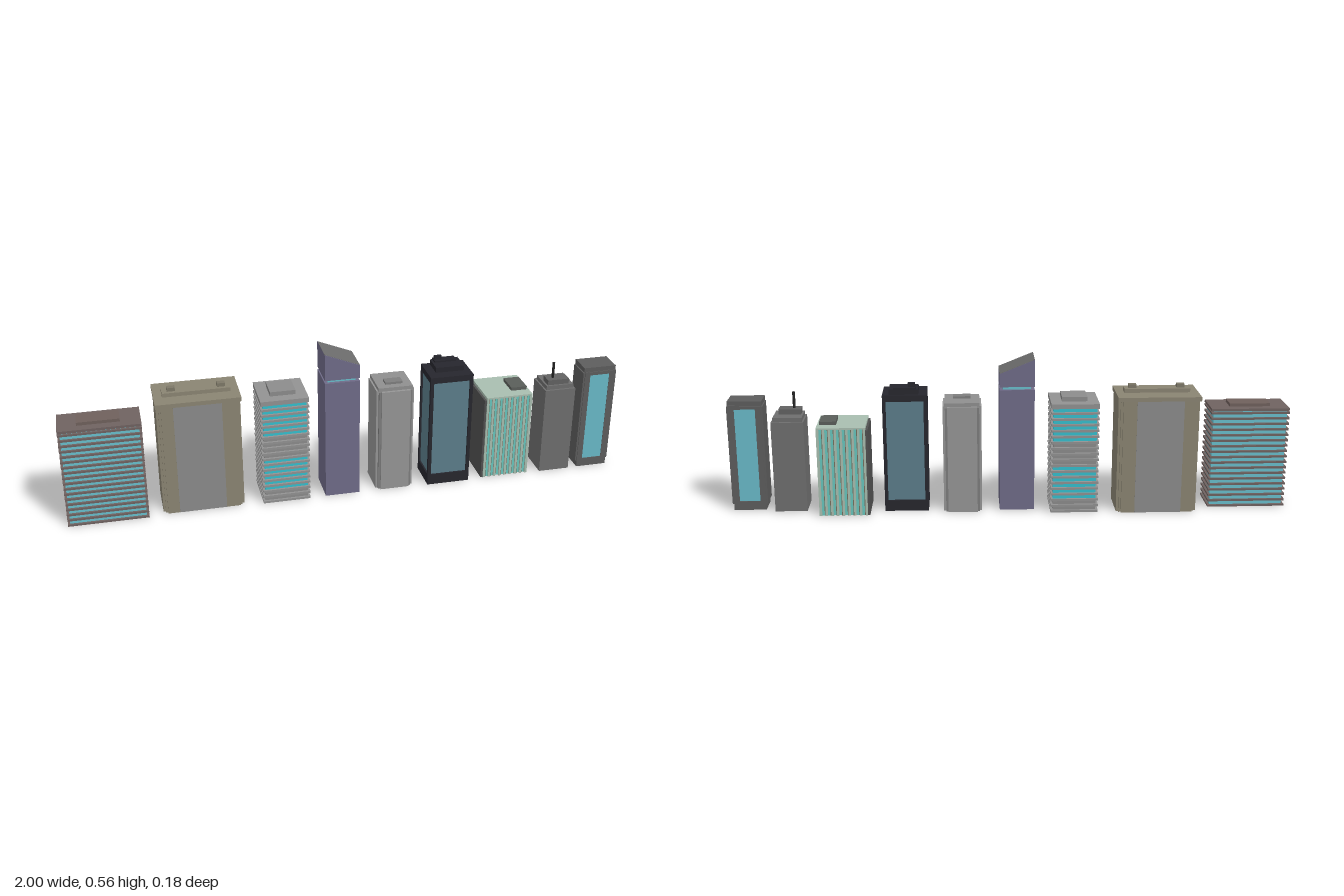
import * as THREE from 'three';

const materials = {};
const mat = (color) => (materials[color] ??= new THREE.MeshStandardMaterial({ color, flatShading: true }));

function add(group, name, geometry, color) {
  const mesh = new THREE.Mesh(geometry, mat(color));
  mesh.name = name;
  group.add(mesh);
  return mesh;
}

// Box given by its limits on each axis
function box(group, name, color, [x0, x1], [y0, y1], [z0, z1]) {
  const mesh = add(group, name, new THREE.BoxGeometry(x1 - x0, y1 - y0, z1 - z0), color);
  mesh.position.set((x0 + x1) / 2, (y0 + y1) / 2, (z0 + z1) / 2);
  return mesh;
}

const inset = ([a, b], d) => [a + d, b - d];

// Upright prism whose four corners are cut back in a number of square steps
function steppedTower(group, name, color, [x0, x1], [y0, y1], [z0, z1], step, count) {
  const w = (x1 - x0) / 2, d = (z1 - z0) / 2;
  const corner = [];
  for (let i = 0; i <= count; i++) {
    corner.push([w - i * step, d - (count - i) * step]);
    if (i < count) corner.push([w - (i + 1) * step, d - (count - i) * step]);
  }
  const back = [...corner].reverse();
  const pts = [
    ...corner,
    ...back.map(([x, z]) => [-x, z]),
    ...corner.map(([x, z]) => [-x, -z]),
    ...back.map(([x, z]) => [x, -z]),
  ].map(([x, z]) => new THREE.Vector2(x, z));
  const geometry = new THREE.ExtrudeGeometry(new THREE.Shape(pts), { depth: y1 - y0, bevelEnabled: false });
  geometry.rotateX(-Math.PI / 2);
  add(group, name, geometry, color).position.set((x0 + x1) / 2, y0, (z0 + z1) / 2);
}

function building(city, name) {
  const group = new THREE.Group();
  group.name = name;
  city.add(group);
  return group;
}

// Wide office block: glass core between thin floor slabs
function slabOffice(city) {
  const g = building(city, 'slabOffice');
  const X = [-1, -0.72], Z = [-0.041, 0.091], n = 18, pitch = 0.0205;
  box(g, 'glassCore', 0x69bfcd, inset(X, 0.008), [0.002, 0.362], inset(Z, 0.008));
  for (let i = 0; i < n; i++) {
    box(g, 'floorSlab', 0x6f6260, X, [i * pitch, i * pitch + 0.007], Z);
  }
  box(g, 'roofSlab', 0x6f6260, X, [0.36, 0.369], Z);
  box(g, 'roofBox', 0x6f605c, [-0.935, -0.79], [0.369, 0.38], [-0.01, 0.058]);
}

// Broad beige block with stepped corners and grey face panels
function beigeBlock(city) {
  const g = building(city, 'beigeBlock');
  const X = [-0.672, -0.378], Z = [-0.091, 0.084];
  steppedTower(g, 'body', 0x8a8472, inset(X, 0.003), [0, 0.412], inset(Z, 0.003), 0.008, 2);
  box(g, 'facePanels', 0x8b8b8b, [-0.612, -0.446], [0, 0.412], inset(Z, 0.002));
  box(g, 'roofSlab', 0x8a8472, X, [0.412, 0.427], Z);
  box(g, 'roofBox', 0x8a8472, [-0.642, -0.408], [0.427, 0.441], [-0.022, 0.027]);
  for (const x of [-0.61, -0.438]) {
    box(g, 'roofVent', 0x7d7868, [x - 0.014, x + 0.014], [0.441, 0.454], [-0.006, 0.014]);
  }
}

// Banded tower: bright glass floors, with grey floors in the middle and at the base
function bandedTower(city) {
  const g = building(city, 'bandedTower');
  const X = [-0.315, -0.145], Z = [-0.078, 0.089], pitch = 0.0214;
  for (let i = 0; i < 19; i++) {
    const y = i * pitch;
    const grey = i < 2 || (i > 7 && i < 12);
    box(g, 'floorSlab', 0x929292, X, [y, y + 0.008], Z);
    if (i < 18) {
      box(g, 'floorBand', grey ? 0x8c8c8c : 0x34bfce, inset(X, 0.008), [y + 0.008, y + pitch], inset(Z, 0.008));
    }
  }
  box(g, 'roofSlab', 0x929292, X, [18 * pitch + 0.008, 0.402], Z);
  box(g, 'roofBox', 0x8c8c8c, [-0.275, -0.185], [0.402, 0.418], [-0.037, 0.05]);
}

// Purple tower with a glass neck and a slanted crown
function slantedTower(city) {
  const g = building(city, 'slantedTower');
  const X = [-0.088, 0.036], Z = [-0.041, 0.086];
  box(g, 'body', 0x6f6b88, X, [0, 0.446], Z);
  box(g, 'glassNeck', 0x69bfcd, inset(X, 0.012), [0.446, 0.458], inset(Z, 0.012));
  const crown = (name, color, points, [z0, z1]) => {
    const shape = new THREE.Shape(points.map(([x, y]) => new THREE.Vector2(x, y)));
    add(g, name, new THREE.ExtrudeGeometry(shape, { depth: z1 - z0, bevelEnabled: false }), color).position.z = z0;
  };
  crown('crown', 0x6f6b88, [[X[0], 0.457], [X[1], 0.457], [X[1], 0.504], [X[0], 0.554]], Z);
  crown('slantedRoof', 0x6c6c6c, [[X[0], 0.552], [X[1], 0.502], [X[1], 0.505], [X[0], 0.555]], inset(Z, 0.003));
}

// Light grey tower with notched corners
function notchedTower(city) {
  const g = building(city, 'notchedTower');
  const X = [0.1, 0.237], Z = [-0.06, 0.086];
  steppedTower(g, 'body', 0x959595, X, [0, 0.39], Z, 0.016, 1);
  box(g, 'cornerInfill', 0x7d7d7d, inset(X, 0.008), [0, 0.386], inset(Z, 0.008));
  box(g, 'roofCap', 0x8f8f8f, inset(X, 0.006), [0.39, 0.403], inset(Z, 0.01));
  box(g, 'roofBox', 0x7e7e7e, [0.137, 0.2], [0.403, 0.411], [0.015, 0.05]);
}

// Black tower framing large glass faces, with a tiered roof
function blackTower(city) {
  const g = building(city, 'blackTower');
  const X = [0.292, 0.449], Z = [-0.037, 0.091], Y = [0.04, 0.407];
  const black = 0x26262d, glass = 0x5b7d8a;
  box(g, 'base', black, X, [0, Y[0]], Z);
  box(g, 'glassBody', glass, inset(X, 0.006), Y, inset(Z, 0.006));
  for (const x of [X[0], X[1] - 0.012]) {
    for (const z of [Z[0], Z[1] - 0.012]) {
      box(g, 'cornerPost', black, [x, x + 0.012], Y, [z, z + 0.012]);
    }
  }
  box(g, 'roofBand', black, X, [Y[1], 0.43], Z);
  box(g, 'roofTier', black, [0.322, 0.425], [0.43, 0.449], [-0.027, 0.05]);
  box(g, 'roofBox', black, [0.33, 0.41], [0.449, 0.455], [-0.027, 0.006]);
  box(g, 'roofVent', black, [0.332, 0.358], [0.455, 0.47], [-0.015, -0.006]);
}

// Pale green block with vertical fins on front and back, dark wall on one side
function finnedBlock(city) {
  const g = building(city, 'finnedBlock');
  const X = [0.508, 0.68], Z = [-0.081, 0.086], n = 9;
  const pale = 0xa9beb0;
  box(g, 'glassCore', 0x67c6bd, inset(X, 0.002), [0, 0.32], inset(Z, 0.007));
  const pitch = (X[1] - X[0] - 0.009) / (n - 1);
  for (let i = 0; i < n; i++) {
    const x = X[0] + i * pitch;
    box(g, 'fin', pale, [x, x + 0.008], [0, 0.32], Z);
    if (i < n - 1) box(g, 'mullion', 0x77705f, [x + 0.008, x + 0.011], [0, 0.32], inset(Z, 0.004));
  }
  box(g, 'sideWall', pale, [X[1] - 0.006, X[1]], [0, 0.32], Z);
  box(g, 'darkSideWall', 0x505050, [0.5, X[0]], [0, 0.315], inset(Z, 0.004));
  box(g, 'roofSlab', pale, X, [0.32, 0.326], Z);
  box(g, 'roofBox', 0x5a5e5a, [0.613, 0.672], [0.326, 0.338], [-0.04, 0.045]);
}

// Small grey tower with set-back roof and mast
function mastTower(city) {
  const g = building(city, 'mastTower');
  const X = [0.729, 0.844], Z = [-0.026, 0.088];
  box(g, 'body', 0x6e6e6e, X, [0, 0.332], Z);
  box(g, 'setback', 0x6e6e6e, inset(X, 0.006), [0.332, 0.347], inset(Z, 0.008));
  box(g, 'roofBox', 0x626262, [0.742, 0.822], [0.347, 0.366], [0.027, 0.073]);
  const mast = add(g, 'mast', new THREE.CylinderGeometry(0.005, 0.005, 0.065, 8), 0x222222);
  mast.position.set(0.768, 0.393, 0.05);
}

// Dark grey slim tower with tall windows front and back
function windowTower(city) {
  const g = building(city, 'windowTower');
  const X = [0.873, 1], Z = [-0.006, 0.086];
  box(g, 'body', 0x5d5d5d, inset(X, 0.006), [0, 0.39], inset(Z, 0.003));
  box(g, 'sidePanels', 0x5d5d5d, X, [0.023, 0.386], inset(Z, 0.003));
  const frame = new THREE.Shape([[0.879, 0], [0.994, 0], [0.994, 0.388], [0.879, 0.388]].map((p) => new THREE.Vector2(...p)));
  frame.holes.push(new THREE.Path([[0.899, 0.033], [0.899, 0.376], [0.973, 0.376], [0.973, 0.033]].map((p) => new THREE.Vector2(...p))));
  for (const z of [Z[0], Z[1] - 0.004]) {
    add(g, 'windowFrame', new THREE.ExtrudeGeometry(frame, { depth: 0.004, bevelEnabled: false }), 0x5d5d5d).position.z = z;
  }
  box(g, 'windows', 0x69b9c8, [0.899, 0.973], [0.033, 0.376], inset(Z, 0.0015));
  box(g, 'roofCap', 0x5d5d5d, inset(X, 0.003), [0.388, 0.405], inset(Z, 0.004));
}

export function createModel() {
  const city = new THREE.Group();
  city.name = 'skyline';
  [slabOffice, beigeBlock, bandedTower, slantedTower, notchedTower, blackTower, finnedBlock, mastTower, windowTower]
    .forEach((build) => build(city));
  return city;
}
